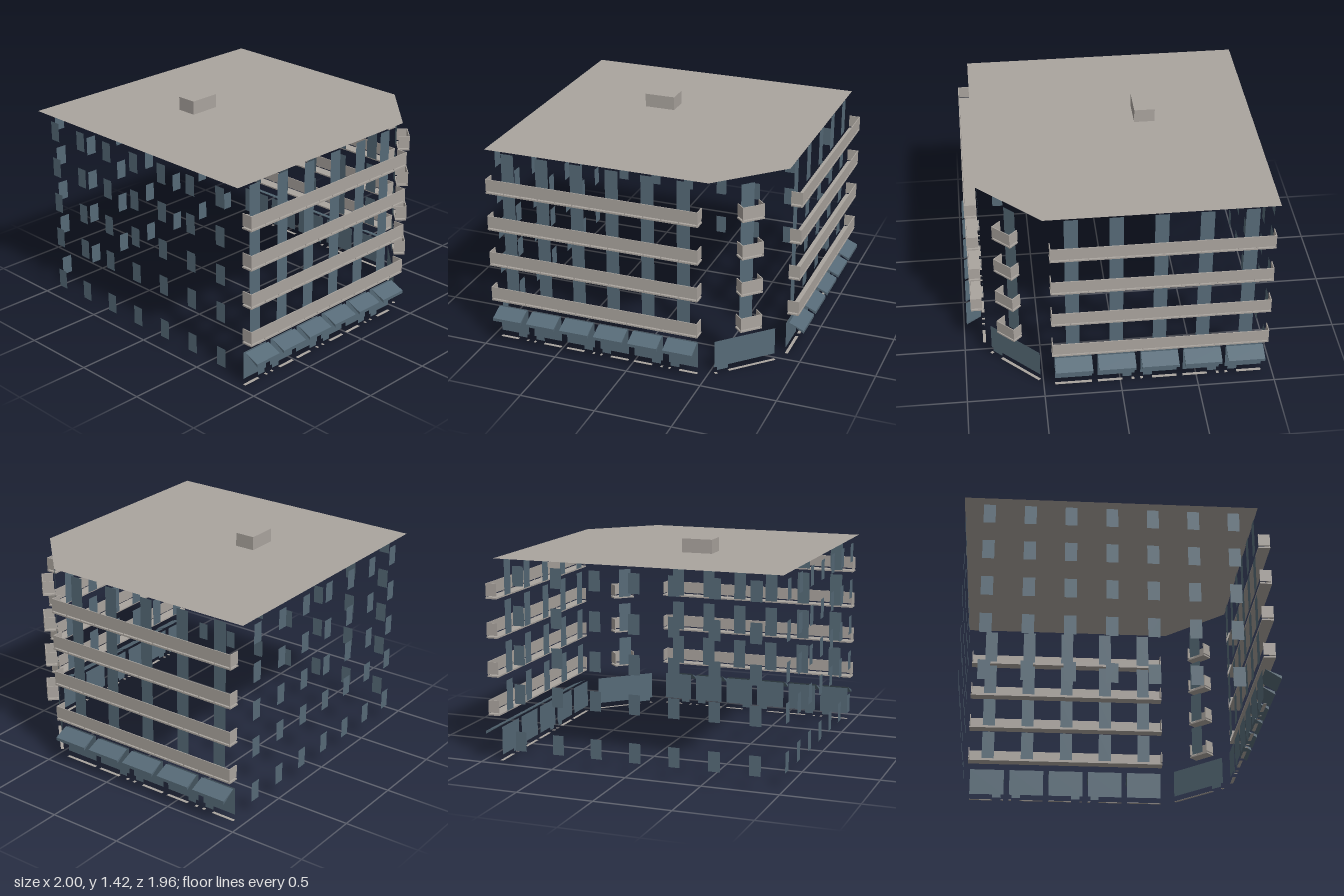
import * as THREE from 'three';

const stone = new THREE.MeshStandardMaterial({ color: 0xaaa49e, side: THREE.DoubleSide });
stone.name = 'stone';
const glass = new THREE.MeshStandardMaterial({ color: 0x566a77, side: THREE.DoubleSide });
glass.name = 'blueGlass';

const FLOORS = [0.3, 0.553, 0.806, 1.06];

function add(parent, name, geo, mat, x = 0, y = 0, z = 0) {
  const m = new THREE.Mesh(geo, mat);
  m.name = name;
  m.position.set(x, y, z);
  parent.add(m);
  return m;
}

function box(parent, name, w, h, d, x, y, z) {
  return add(parent, name, new THREE.BoxGeometry(w, h, d), stone, x, y, z);
}

// upright pane spanning y0..y1, z is the distance out from the wall
function pane(parent, name, x, w, y0, y1, z) {
  return add(parent, name, new THREE.PlaneGeometry(w, y1 - y0), glass, x, (y0 + y1) / 2, z);
}

// each facade has local x along the wall and local z pointing outwards
function facade(root, name, x, z, angle) {
  const g = new THREE.Group();
  g.name = name;
  g.position.set(x, 0, z);
  g.rotation.y = angle;
  root.add(g);
  return g;
}

// slab with a three-sided parapet raised on short posts
function balcony(parent, x, y, w, d = 0.075) {
  const g = new THREE.Group();
  g.name = 'balcony';
  g.position.set(x, y, 0);
  parent.add(g);
  const t = 0.006;
  box(g, 'balconySlab', w, 0.01, d, 0, 0.005, d / 2);
  box(g, 'balconyFront', w - 0.004, 0.08, t, 0, 0.059, d - t / 2);
  for (const s of [-1, 1])
    box(g, 'balconySide', t, 0.08, d - t, s * (w / 2 - 0.002 - t / 2), 0.059, (d - t) / 2);
  const n = Math.max(1, Math.round(w / 0.12));
  for (let i = 0; i <= n; i++)
    box(g, 'balconyPost', 0.005, 0.012, 0.005, (i / n - 0.5) * (w - 0.012), 0.015, d - 0.004);
}

// shop glazing, optional door and the ground sill either side of the door
function shop(parent, x, w, doorX = null, doorW = 0.06) {
  pane(parent, 'shopWindow', x, w, 0.04, 0.225, -0.01);
  const sill = (a, b) => {
    if (b - a > 0.01) box(parent, 'shopSill', b - a, 0.002, 0.02, (a + b) / 2, 0.001, -0.003);
  };
  const l = x - w / 2, r = x + w / 2;
  if (doorX === null) return sill(l, r);
  pane(parent, 'shopDoor', doorX, doorW, 0.017, 0.195, -0.007);
  sill(l, doorX - doorW / 2);
  sill(doorX + doorW / 2, r);
}

// sloped sheet, front valance and triangular cheeks
function awning(parent, x, w) {
  const profile = new THREE.Shape([[0.01, 0.23], [0.108, 0.168], [0.108, 0.188]].map(p => new THREE.Vector2(...p)));
  const geo = new THREE.ExtrudeGeometry(profile, { depth: w, bevelEnabled: false });
  geo.rotateY(-Math.PI / 2);
  geo.translate(w / 2, 0, 0);
  add(parent, 'awning', geo, glass, x, 0, 0);
}

export function createModel() {
  const root = new THREE.Group();
  root.name = 'cornerBuilding';

  // thin roof sheet with one cut corner
  const outline = [[-1, 0.98], [0.89, 0.98], [0.89, -0.48], [0.5, -0.87], [-1, -0.87]];
  const roofGeo = new THREE.ShapeGeometry(new THREE.Shape(outline.map(p => new THREE.Vector2(...p))));
  roofGeo.rotateX(-Math.PI / 2);
  add(root, 'roof', roofGeo, stone, 0, 1.327, 0);
  box(root, 'roofHousing', 0.205, 0.09, 0.135, -0.233, 1.373, -0.267);

  // street sides: shops, awnings, balcony doors and long balconies
  const tops = [0.515, 0.77, 1.04, 1.31];
  const streets = [
    { g: facade(root, 'frontFacade', 0, 0.87, 0), first: -0.848, step: 0.2368, n: 6,
      shopW: 0.198, door: 0.055, noDoor: -1, balX: -0.2525, balW: 1.425 },
    { g: facade(root, 'leftFacade', 0.89, 0, Math.PI / 2), first: -0.306, step: 0.279, n: 5,
      shopW: 0.24, door: -0.072, noDoor: 0, balX: 0.2525, balW: 1.395 },
  ];
  for (const s of streets) {
    for (let i = 0; i < s.n; i++) {
      const x = s.first + i * s.step;
      const doorX = i === s.noDoor ? null : x + (i % 2 ? -1 : 1) * s.door;
      shop(s.g, x, s.shopW, doorX);
      awning(s.g, x, s.shopW);
      FLOORS.forEach((y, f) => pane(s.g, 'balconyDoor', x, 0.087, y + 0.012, tops[f], -0.01));
    }
    for (const y of FLOORS) balcony(s.g, s.balX, y, s.balW);
  }

  // cut corner: one wide shop with small balconies above
  const corner = facade(root, 'cornerFacade', 0.69, 0.677, Math.PI / 4);
  shop(corner, 0, 0.43, -0.157, 0.078);
  for (const y of FLOORS) {
    pane(corner, 'cornerDoor', 0, 0.09, y + 0.012, y + 0.214, -0.01);
    balcony(corner, 0, y, 0.152);
  }

  // plain rear sides: a grid of small windows
  const rears = [
    { g: facade(root, 'backFacade', 0, -0.98, Math.PI), first: -0.725, step: 0.26 },
    { g: facade(root, 'rightFacade', -1, 0, -Math.PI / 2), first: -0.82, step: 0.2555 },
  ];
  for (const r of rears)
    for (let i = 0; i < 7; i++)
      for (const y of [0.09, 0.4, 0.652, 0.905, 1.158])
        pane(r.g, 'rearWindow', r.first + i * r.step, 0.075, y, y + 0.128, -0.008);

  return root;
}
